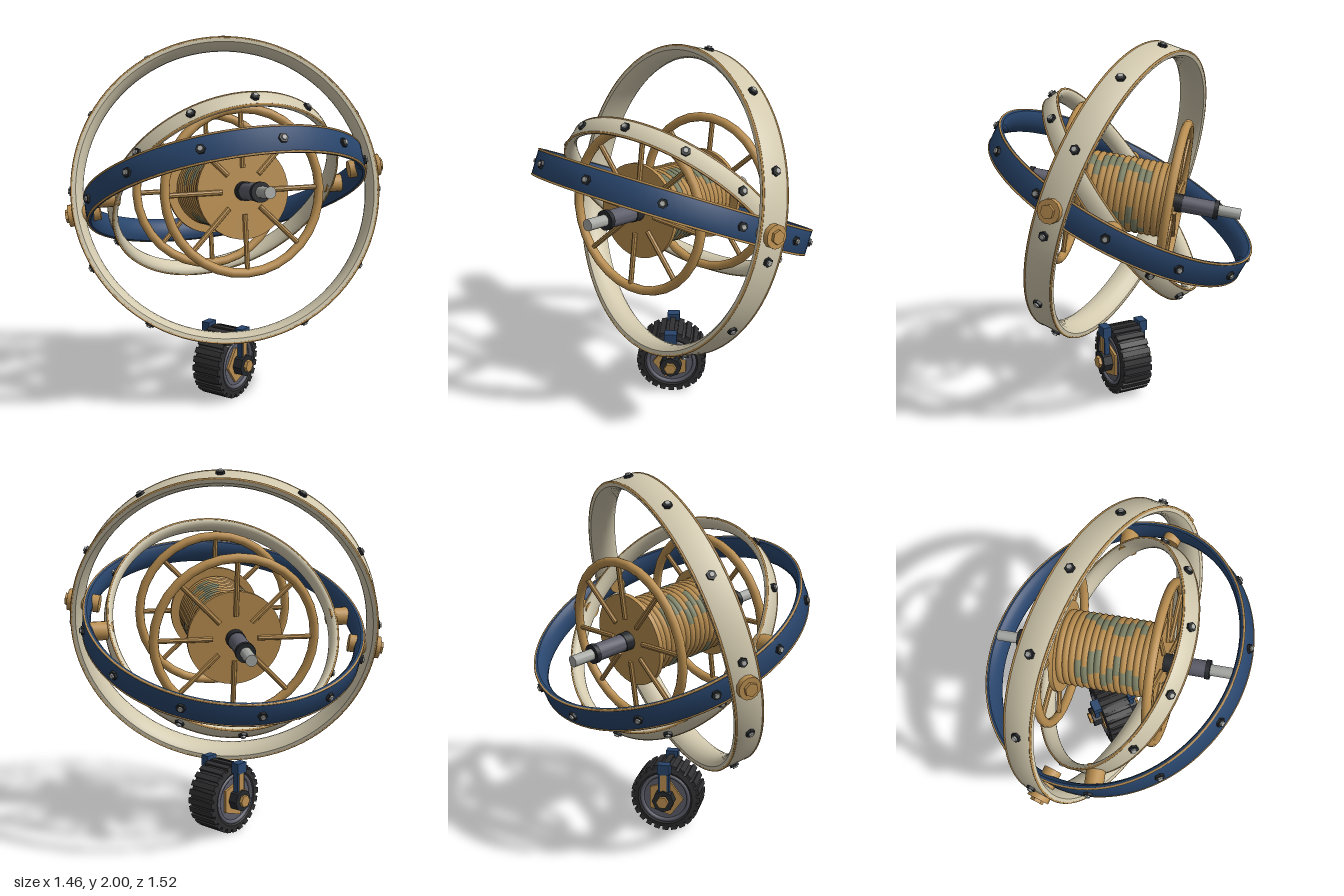
import * as THREE from 'three';
import { toCreasedNormals } from 'three/addons/utils/BufferGeometryUtils.js';

const material = (name, color) => {
  const m = new THREE.MeshStandardMaterial({ color });
  m.name = name;
  return m;
};
const cream = material('cream', 0xd2c9ae);
const blue = material('navy blue', 0x28456c);
const gold = material('brass', 0xb98e50);
const green = material('verdigris', 0x7d8266);
const dark = material('dark iron', 0x25282c);
const silver = material('silver', 0xa8aaa6);
const grey = material('slate grey', 0x5c5d69);
const rubber = material('rubber', 0x303032);

function add(parent, name, geometry, mat) {
  const mesh = new THREE.Mesh(geometry, mat);
  mesh.name = name;
  parent.add(mesh);
  return mesh;
}

// Cylinder running along local x from x0 to x1
function rodX(parent, name, mat, r, x0, x1, sides = 16) {
  const g = new THREE.CylinderGeometry(r, r, Math.abs(x1 - x0), sides);
  const m = add(parent, name, toCreasedNormals(g, 0.6), mat);
  m.rotation.z = -Math.PI / 2;
  m.position.x = (x0 + x1) / 2;
  return m;
}

// Group whose local y is the given axis and whose local x is as near as possible to side
function orientedGroup(name, axis, side) {
  const y = new THREE.Vector3(...axis).normalize();
  const x = new THREE.Vector3(...side);
  x.addScaledVector(y, -x.dot(y)).normalize();
  const z = new THREE.Vector3().crossVectors(x, y);
  const g = new THREE.Group();
  g.name = name;
  g.quaternion.setFromRotationMatrix(new THREE.Matrix4().makeBasis(x, y, z));
  return g;
}

function spin(parent, name, angle) {
  const g = new THREE.Group();
  g.name = name;
  g.rotation.y = angle;
  parent.add(g);
  return g;
}

// Gimbal ring: flat outside, rounded inside, brass edging, twelve bolts
function gimbalRing(name, axis, side, R, h, t, mat, boltOffset) {
  const ring = orientedGroup(name, axis, side);
  const e = R - 0.006;
  const points = [[e, -h], [R, -h * 0.85], [R, h * 0.85], [e, h], [R - t * 0.45, h * 0.97],
    [R - t * 0.75, h * 0.72], [R - t * 0.95, h * 0.35], [R - t, 0], [R - t * 0.95, -h * 0.35],
    [R - t * 0.75, -h * 0.72], [R - t * 0.45, -h * 0.97], [e, -h]]
    .map(([x, y]) => new THREE.Vector2(x, y));
  add(ring, name + 'Band', toCreasedNormals(new THREE.LatheGeometry(points, 96), 0.7), mat);
  for (const s of [-1, 1]) {
    const trim = add(ring, 'edgeTrim', new THREE.TorusGeometry(R - 0.004, 0.006, 6, 96), gold);
    trim.rotation.x = Math.PI / 2;
    trim.position.y = s * h * 0.95;
  }
  for (let i = 0; i < 12; i++) {
    const bolt = spin(ring, 'bolt', THREE.MathUtils.degToRad(boltOffset + i * 30));
    rodX(bolt, 'boltHead', dark, 0.025, R - 0.01, R + 0.013, 6);
    rodX(bolt, 'boltTip', silver, 0.014, R, R + 0.022, 6);
  }
  return ring;
}

// Spool with wound coil, two spoked wheels and a shaft
function createSpool() {
  const spool = orientedGroup('spool', [0.8, 0.14, 0.583], [0.589, 0, -0.808]);
  add(spool, 'core', new THREE.CylinderGeometry(0.18, 0.18, 0.5, 32), gold);
  let seed = 7;
  const random = () => (seed = (seed * 16807) % 2147483647) / 2147483647;
  const wraps = 15;
  for (let i = 0; i < wraps; i++) {
    const y = -0.24 + (0.48 * i) / (wraps - 1);
    const wrap = add(spool, 'coilWrap', new THREE.TorusGeometry(0.185, 0.02, 8, 40), gold);
    wrap.rotation.x = Math.PI / 2;
    wrap.position.y = y;
    // Tarnished stretches of the winding
    if (i < 3 || i > 12) continue;
    for (let k = 0; k < 4; k++) {
      const arc = add(spool, 'tarnish', new THREE.TorusGeometry(0.186, 0.021, 8, 10, 0.25 + random() * 0.4), green);
      arc.rotation.set(Math.PI / 2, 0, k * Math.PI / 2 + random() * 0.7);
      arc.position.y = y;
    }
  }
  for (const s of [-1, 1]) {
    const end = new THREE.Group();
    end.name = 'spoolEnd';
    if (s < 0) end.rotation.x = Math.PI;
    spool.add(end);
    const disc = add(end, 'flange', toCreasedNormals(new THREE.CylinderGeometry(0.25, 0.25, 0.025, 40), 0.6), gold);
    disc.position.y = 0.267;
    const rim = add(end, 'wheelRim', new THREE.TorusGeometry(0.425, 0.025, 10, 32), gold);
    rim.rotation.x = Math.PI / 2;
    rim.position.y = 0.285;
    for (let i = 0; i < 8; i++) {
      const spoke = spin(end, 'spoke', i * Math.PI / 4);
      spoke.position.y = 0.285;
      rodX(spoke, 'spokeBar', gold, 0.014, 0.12, 0.425, 8);
    }
    // Shaft from the flange outward
    const shaft = [['shaftCollar', dark, 0.05, 0.27, 0.33], ['shaftHousing', grey, 0.046, 0.32, 0.5],
      ['shaftEndCollar', dark, 0.052, 0.5, 0.525], ['shaftTip', silver, 0.03, 0.52, 0.645]];
    for (const [name, mat, r, a, b] of shaft) {
      const m = add(end, name, toCreasedNormals(new THREE.CylinderGeometry(r, r, b - a, 18), 0.6), mat);
      m.position.y = (a + b) / 2;
    }
  }
  return spool;
}

// Treaded wheel with its two fork prongs
function createCaster() {
  const caster = new THREE.Group();
  caster.name = 'caster';
  caster.position.y = 0.197;
  const profile = [[0.12, -0.07], [0.155, -0.09], [0.178, -0.085], [0.188, -0.06], [0.189, 0],
    [0.188, 0.06], [0.178, 0.085], [0.155, 0.09], [0.12, 0.07]].map(([x, y]) => new THREE.Vector2(x, y));
  const tyre = add(caster, 'tyre', toCreasedNormals(new THREE.LatheGeometry(profile, 40), 0.6), rubber);
  tyre.rotation.z = -Math.PI / 2;
  for (let i = 0; i < 24; i++) {
    const holder = new THREE.Group();
    holder.name = 'tread';
    holder.rotation.x = (i / 24) * Math.PI * 2;
    caster.add(holder);
    const lug = add(holder, 'treadLug', new THREE.BoxGeometry(0.17, 0.02, 0.032), rubber);
    lug.position.y = 0.187;
  }
  rodX(caster, 'hub', grey, 0.135, -0.078, 0.078, 32);
  for (const s of [-1, 1]) {
    const rim = add(caster, 'hubRim', new THREE.TorusGeometry(0.135, 0.012, 8, 32), grey);
    rim.rotation.y = Math.PI / 2;
    rim.position.x = s * 0.08;
    rodX(caster, 'hubStar', gold, 0.105, s * 0.07, s * 0.092, 5);
    rodX(caster, 'axleCollar', dark, 0.062, s * 0.09, s * 0.145, 8);
    rodX(caster, 'axleBolt', gold, 0.035, s * 0.14, s * 0.163, 6);
    const prong = add(caster, 'forkProng', new THREE.BoxGeometry(0.028, 0.2, 0.06), blue);
    prong.position.set(s * 0.114, 0.095, 0);
    const plate = add(caster, 'forkPlate', new THREE.BoxGeometry(0.006, 0.15, 0.038), gold);
    plate.position.set(s * 0.131, 0.105, 0);
    const block = add(caster, 'forkTop', new THREE.BoxGeometry(0.05, 0.06, 0.07), blue);
    block.position.set(s * 0.112, 0.185, 0);
  }
  return caster;
}

export function createModel() {
  const model = new THREE.Group();
  model.name = 'gyroscope';
  const gimbal = new THREE.Group();
  gimbal.name = 'gimbal';
  gimbal.position.y = 1.175;
  model.add(gimbal);

  const pivot = [0.76, 0.15, -0.632];
  const innerPivot = [0.51, -0.015, -0.86];
  const outer = gimbalRing('outerRing', [0.584, 0.27, 0.766], pivot, 0.828, 0.08, 0.06, cream, -9);
  const middle = gimbalRing('middleRing', [-0.388, 0.885, -0.2565], pivot, 0.762, 0.07, 0.045, blue, -10);
  const inner = gimbalRing('innerRing', [-0.697, 0.58, -0.423], innerPivot, 0.645, 0.05, 0.04, cream, -2);
  gimbal.add(outer, middle, inner, createSpool());

  // Pivot pins on opposite sides of the rings
  for (const s of [-1, 1]) {
    rodX(outer, 'pivotPin', gold, 0.048, s * 0.685, s * 0.83);
    rodX(outer, 'pivotCap', gold, 0.06, s * 0.82, s * 0.856, 12);
    rodX(outer, 'pivotBoss', gold, 0.036, s * 0.85, s * 0.872, 6);
    rodX(inner, 'innerPivotPin', gold, 0.05, s * 0.615, s * 0.74);
  }
  model.add(createCaster());
  return model;
}
